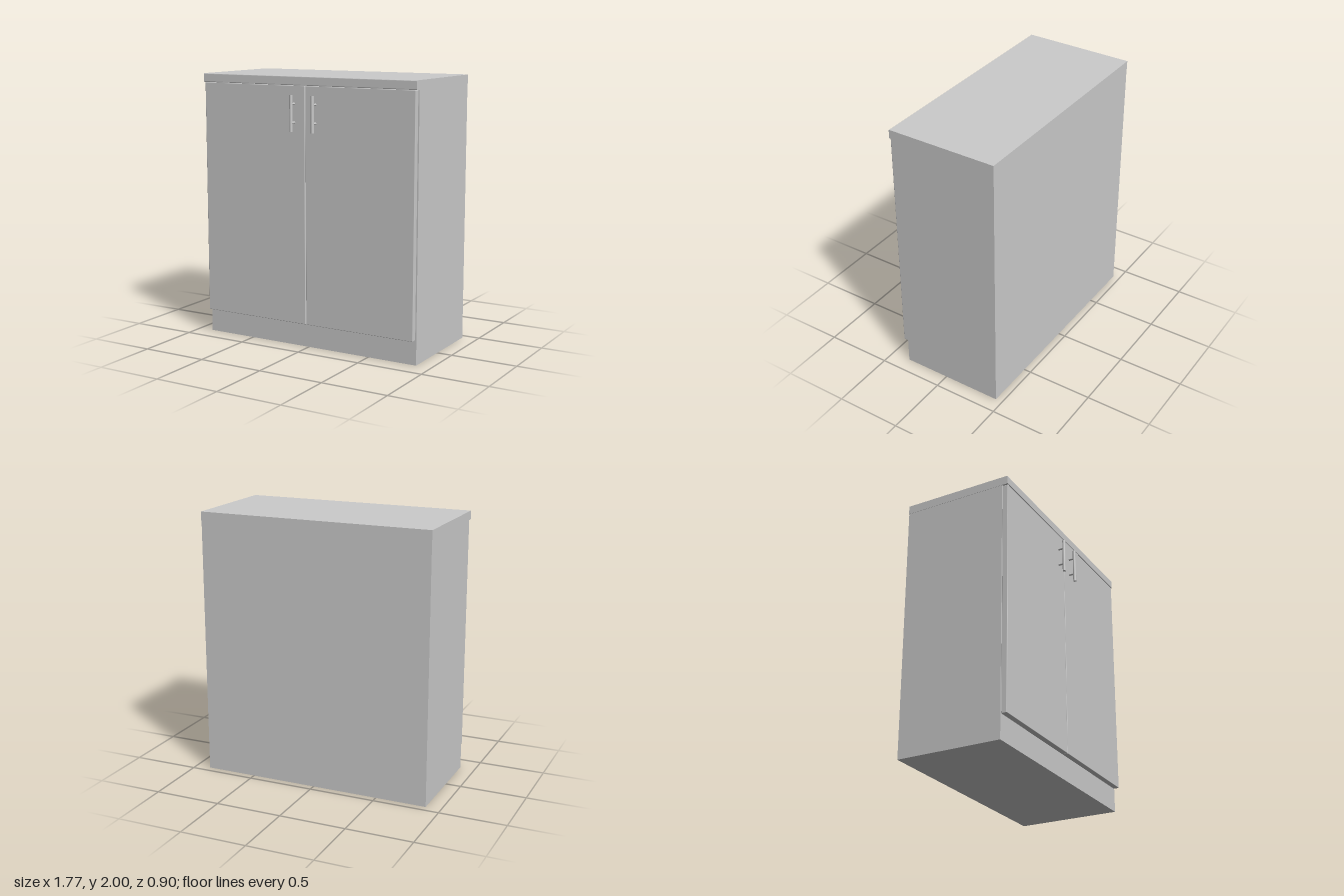
import * as THREE from 'three';
import { RoundedBoxGeometry } from 'three/addons/geometries/RoundedBoxGeometry.js';

const material = new THREE.MeshStandardMaterial({ color: 0xcccccc });

function add(parent, name, geometry, x, y, z) {
  const mesh = new THREE.Mesh(geometry, material);
  mesh.name = name;
  mesh.position.set(x, y, z);
  parent.add(mesh);
  return mesh;
}

// Worktop: side profile with softly rounded front edges, extruded across the width
function worktopGeometry(width, back, front, bottom, top, r) {
  const s = new THREE.Shape();
  s.moveTo(-back, bottom);
  s.lineTo(-back, top);
  s.lineTo(-front + r, top);
  s.quadraticCurveTo(-front, top, -front, top - r);
  s.lineTo(-front, bottom + r);
  s.quadraticCurveTo(-front, bottom, -front + r, bottom);
  s.closePath();
  const g = new THREE.ExtrudeGeometry(s, { depth: width, bevelEnabled: false, curveSegments: 5 });
  // shape x becomes -z, extrusion runs along x
  return g.translate(0, 0, -width / 2).rotateY(Math.PI / 2);
}

export function createModel() {
  const model = new THREE.Group();
  model.name = 'cabinet';

  // Carcass, with the plinth showing below the doors
  add(model, 'carcass', new THREE.BoxGeometry(1.77, 1.935, 0.795), 0, 0.9675, -0.0485);
  add(model, 'worktop', worktopGeometry(1.774, -0.447, 0.394, 1.935, 2, 0.006), 0, 0, 0);

  for (const side of [-1, 1]) {
    const label = side > 0 ? 'left' : 'right';

    // Door
    add(model, label + 'Door', new RoundedBoxGeometry(0.874, 1.753, 0.043, 2, 0.004), side * 0.44, 1.0575, 0.3705);

    // Bar handle on two posts
    const handle = new THREE.Group();
    handle.name = label + 'Handle';
    handle.position.set(side * 0.089, 0, 0);
    add(handle, 'handleBar', new THREE.CylinderGeometry(0.012, 0.012, 0.264, 20), 0, 1.737, 0.437);
    for (const y of [1.67, 1.804]) {
      add(handle, 'handlePost', new THREE.CylinderGeometry(0.008, 0.008, 0.048, 16), 0, y, 0.414).rotation.x = Math.PI / 2;
    }
    model.add(handle);
  }
  return model;
}
